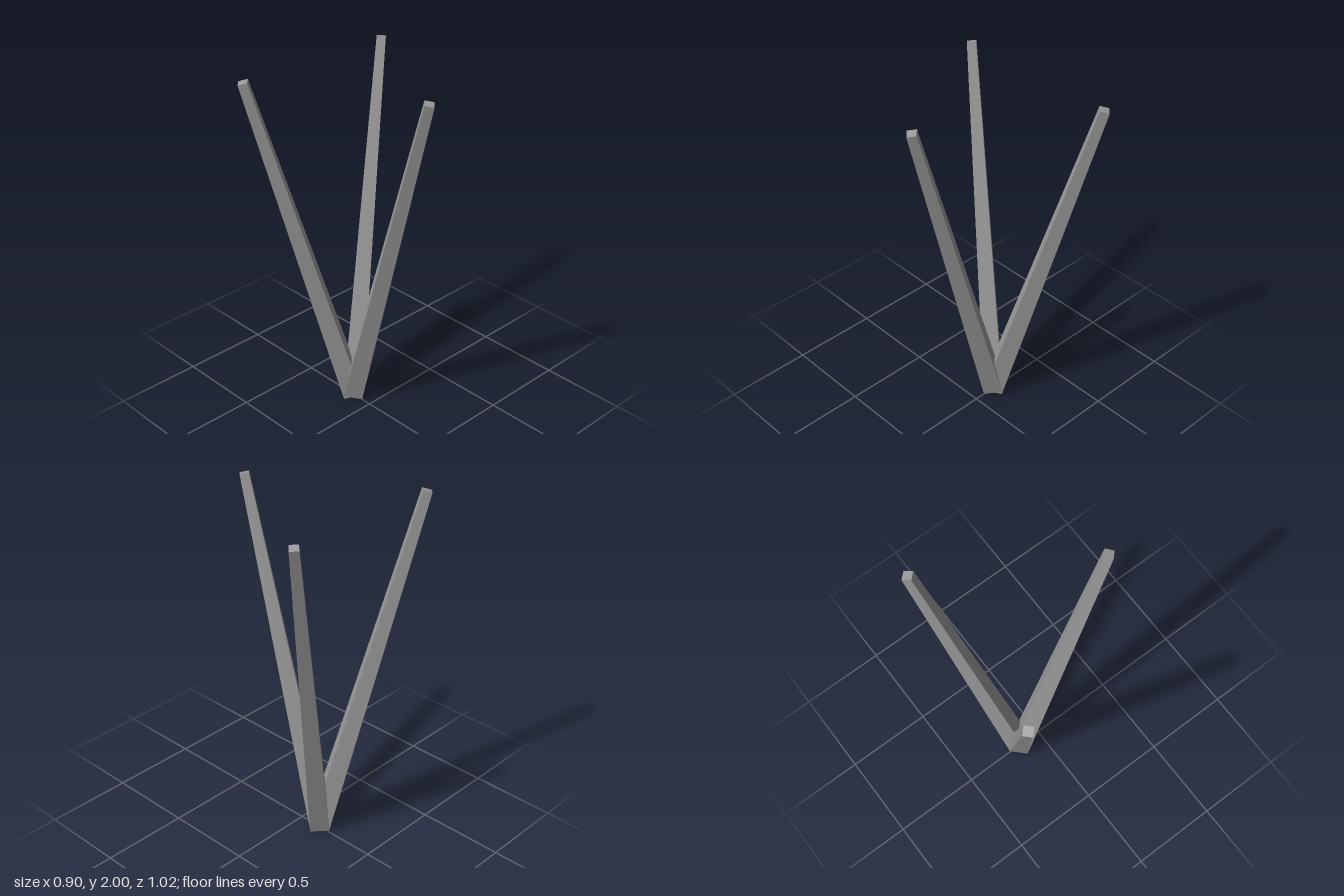
import * as THREE from 'three';

export function createModel() {
  const group = new THREE.Group();
  const grey = new THREE.MeshStandardMaterial({ color: 0x999999 });
  grey.name = 'plain grey';
  grey.flatShading = true;

  // All three struts spring from one point at the foot
  const foot = new THREE.Vector3(-0.135, 0.021, 0);
  const up = new THREE.Vector3(0, 1, 0);

  // Tapered square strut from the foot to a tip
  function addStrut(name, x, y, z) {
    const tip = new THREE.Vector3(x, y, z);
    const axis = tip.clone().sub(foot);
    const strut = new THREE.Mesh(new THREE.CylinderGeometry(0.035, 0.077, axis.length(), 4), grey);
    strut.position.copy(foot).add(tip).multiplyScalar(0.5);
    strut.quaternion.setFromUnitVectors(up, axis.normalize());
    strut.name = name;
    group.add(strut);
  }

  addStrut('leftStrut', 0.417, 1.99, 0.004);
  addStrut('frontStrut', -0.414, 1.99, 0.473);
  addStrut('backStrut', -0.404, 1.99, -0.478);

  return group;
}
